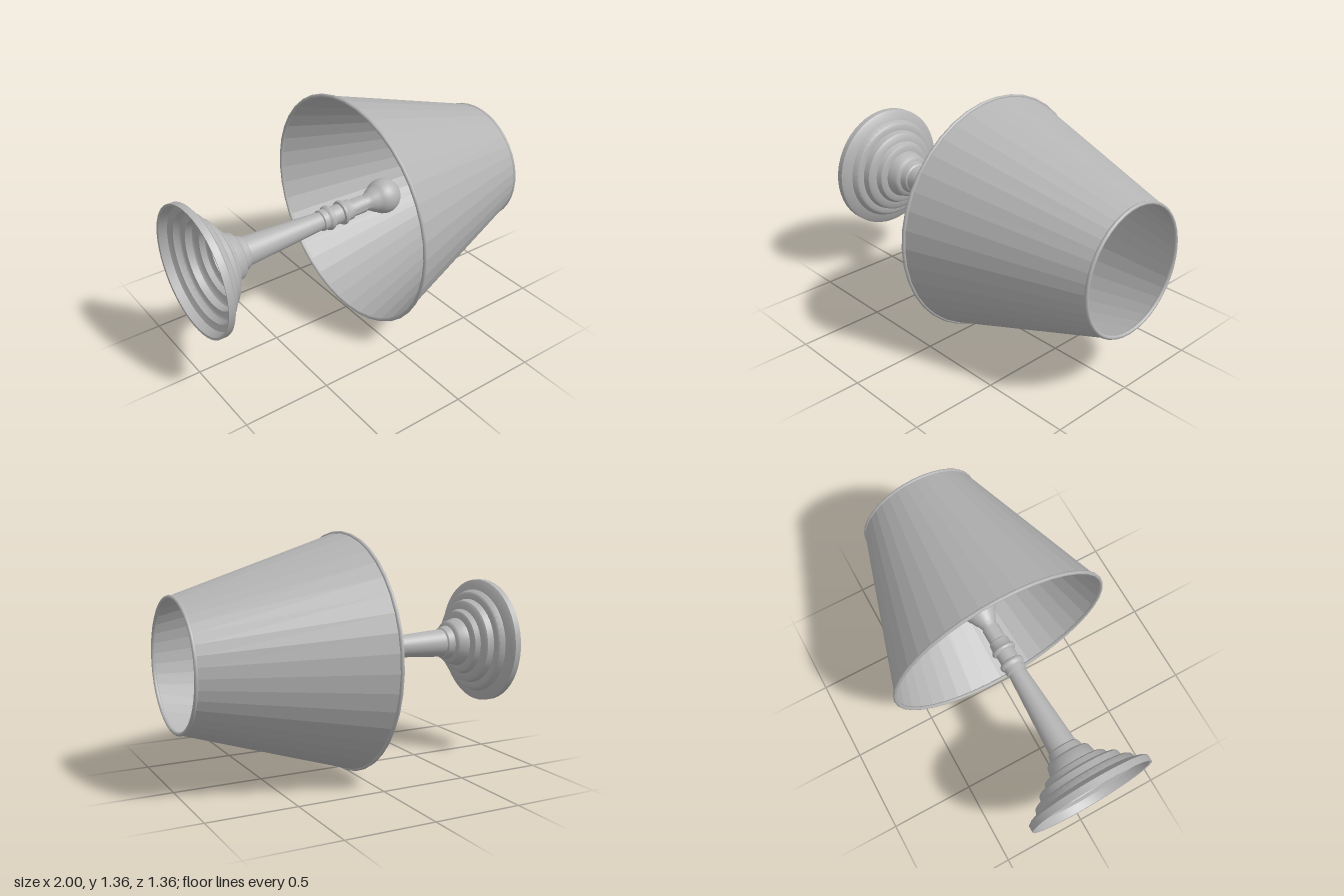
import * as THREE from 'three';
import { toCreasedNormals } from 'three/addons/utils/BufferGeometryUtils.js';

const grey = new THREE.MeshStandardMaterial({ color: 0xb4b4b4, side: THREE.DoubleSide });
grey.name = 'plain grey';

// Lathe from [distance along the lamp axis, radius] pairs
function turned(name, profile, segments, crease) {
  const points = profile.map(([s, r]) => new THREE.Vector2(r, s));
  const geometry = toCreasedNormals(new THREE.LatheGeometry(points, segments), crease);
  const mesh = new THREE.Mesh(geometry, grey);
  mesh.name = name;
  return mesh;
}

// Rolled wire hoop around one end of the shade
function hoop(name, s, radius) {
  const geometry = new THREE.TorusGeometry(radius, 0.011, 8, 40);
  geometry.rotateX(Math.PI / 2);
  const mesh = new THREE.Mesh(geometry, grey);
  mesh.position.y = s;
  mesh.name = name;
  return mesh;
}

export function createModel() {
  const lamp = new THREE.Group();
  lamp.name = 'tableLamp';

  // Hollow stepped foot
  lamp.add(turned('base', [
    [-0.945, 0.345], [-0.99, 0.36], [-0.993, 0.372], [-0.955, 0.372], [-0.943, 0.355],
    [-0.928, 0.312], [-0.897, 0.298], [-0.889, 0.285], [-0.887, 0.256],
    [-0.85, 0.247], [-0.84, 0.235], [-0.834, 0.198], [-0.805, 0.185],
    [-0.798, 0.172], [-0.795, 0.144], [-0.738, 0.13], [-0.727, 0.12],
    [-0.722, 0.102], [-0.685, 0.092], [-0.678, 0.083],
  ], 48, 0.6));

  // Tapered column with two beads and the bulb socket
  lamp.add(turned('stem', [
    [-0.678, 0.083], [-0.185, 0.052], [-0.18, 0.06], [-0.148, 0.06], [-0.137, 0.07],
    [-0.125, 0.072], [-0.114, 0.067], [-0.108, 0.056], [-0.05, 0.056],
    [-0.045, 0.068], [-0.033, 0.072], [-0.021, 0.067], [-0.01, 0.06],
    [0.025, 0.058], [0.03, 0.05], [0.12, 0.05], [0.122, 0.04],
  ], 32, 0.6));

  // Pear-shaped bulb: flared neck followed by a round end
  const bulb = [[0.115, 0.043], [0.135, 0.045], [0.16, 0.055], [0.185, 0.071]];
  for (let i = 0; i <= 12; i++) {
    const a = THREE.MathUtils.lerp(0.82, Math.PI, i / 12);
    bulb.push([0.27 - 0.103 * Math.cos(a), 0.103 * Math.sin(a)]);
  }
  lamp.add(turned('bulb', bulb, 32, 1));

  // Open conical shade with faceted sides
  lamp.add(turned('shade', [[0.007, 0.67], [0.985, 0.36]], 40, 0.05));
  lamp.add(hoop('wideHoop', 0.008, 0.668));
  lamp.add(hoop('narrowHoop', 0.984, 0.356));

  // Lay the lamp on its side, very slightly skewed
  const axis = new THREE.Vector3(1, 0.009, -0.016).normalize();
  lamp.quaternion.setFromUnitVectors(new THREE.Vector3(0, 1, 0), axis);
  lamp.position.set(0, 0.682, -0.003);

  const model = new THREE.Group();
  model.name = 'model';
  model.add(lamp);
  return model;
}
